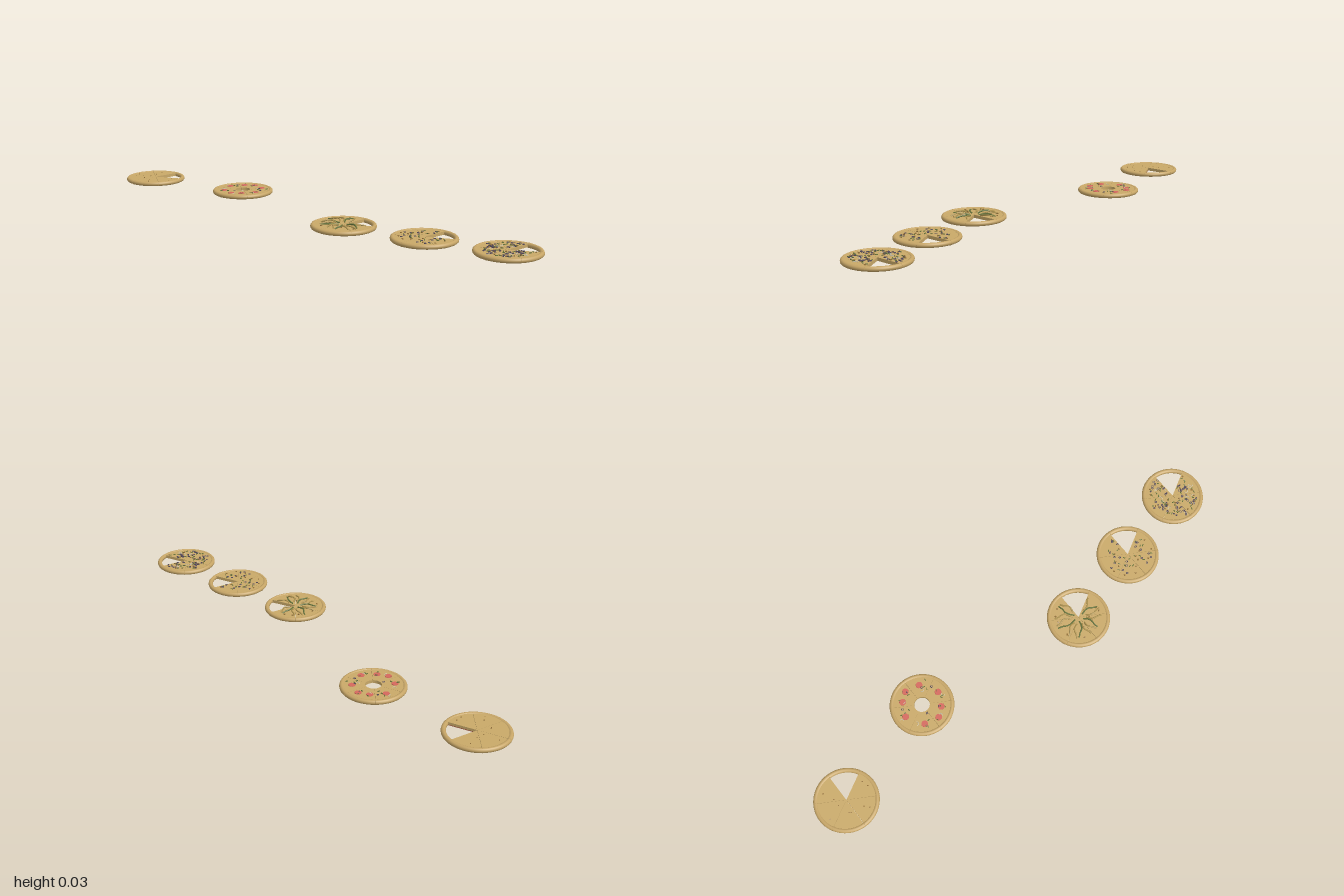
import * as THREE from 'three';

const R = 0.1143;            // crust centre line
const TUBE = 0.009;          // crust thickness radius
const CRUST_Y = 0.0097;      // crust centre height
const TOP = 0.0165;          // upper face of the slices
const STEP = Math.PI / 3;    // six slices per pizza
const START = THREE.MathUtils.degToRad(74); // first slice begins after the missing one

const mat = (color) => new THREE.MeshStandardMaterial({ color });
const dough = mat(0xc6a566), cheese = mat(0xc9a968), sauce = mat(0xa2503f);
const meat = mat(0xd4685c), green = mat(0x66753c), dark = mat(0x54485a), pale = mat(0xd6cfba);
const strip = mat(0xb09550), brown = mat(0x96733c);

function seeded(seed) {
  let s = seed;
  return () => (s = (s * 16807) % 2147483647) / 2147483647;
}

function add(parent, name, geometry, material) {
  const mesh = new THREE.Mesh(geometry, material);
  mesh.name = name;
  parent.add(mesh);
  return mesh;
}

// Flat slice on the ground plane spanning 60 degrees, with an optional cut-off tip
function sector(inner, outer, y, height) {
  const gap = 0.006, steps = 12;
  const arc = (r, from, to, n) => Array.from({ length: n + 1 }, (_, i) => {
    const a = from + (to - from) * i / n;
    return new THREE.Vector2(r * Math.cos(a), r * Math.sin(a));
  });
  const tip = inner > 0 ? arc(inner, STEP - gap, gap, 6) : [new THREE.Vector2(0.0005, 0.0003)];
  const shape = new THREE.Shape([...tip, ...arc(outer, gap, STEP - gap, steps)]);
  const g = new THREE.ExtrudeGeometry(shape, { depth: height, bevelEnabled: false });
  return g.rotateX(-Math.PI / 2).translate(0, y, 0);
}

// Point on a slice at a polar position
const polar = (r, a, y = TOP) => new THREE.Vector3(r * Math.cos(a), y, -r * Math.sin(a));

// Crumbs of one kind strewn over a slice
function scatter(slice, name, geometry, material, count, rand, rMin = 0.02) {
  for (let i = 0; i < count; i++) {
    const r = Math.sqrt(rMin * rMin + rand() * (0.099 ** 2 - rMin * rMin));
    const margin = Math.min(0.4, 0.005 / r);
    const a = margin + rand() * (STEP - 2 * margin);
    const m = add(slice, name, geometry, material);
    m.position.copy(polar(r, a, TOP + 0.001));
    m.rotation.set(rand() * 0.4 - 0.2, rand() * 6.28, rand() * 0.4 - 0.2);
  }
}

const cube = new THREE.BoxGeometry(0.006, 0.004, 0.005);
const sliver = new THREE.BoxGeometry(0.009, 0.003, 0.003);
const ring = new THREE.TorusGeometry(0.0034, 0.0014, 6, 12).rotateX(Math.PI / 2);
const disc = new THREE.CylinderGeometry(0.0125, 0.013, 0.002, 20);
const curl = new THREE.TorusGeometry(0.007, 0.0013, 5, 10, Math.PI).rotateX(Math.PI / 2);
const fleck = new THREE.CylinderGeometry(0.0025, 0.0025, 0.0012, 6);

// Toppings for one slice of each kind
const toppings = {
  plain(slice, rand) {
    scatter(slice, 'brownFleck', fleck, brown, 2, rand);
  },
  sausage(slice, rand, index) {
    const spots = index % 3 ? [[0.078, 0.55]] : [[0.082, 0.25], [0.074, 0.8]];
    for (const [r, a] of spots) add(slice, 'sausageDisc', disc, meat).position.copy(polar(r, a, TOP + 0.001));
    scatter(slice, 'herb', sliver, green, 3, rand, 0.04);
    scatter(slice, 'oliveRing', ring, dark, 1, rand, 0.04);
    scatter(slice, 'onionCurl', curl, pale, 1, rand, 0.05);
  },
  strips(slice, rand) {
    // Wavy arched strips fanning out from the tip
    for (let i = 0; i < 3; i++) {
      const a = STEP * (i + 0.5) / 3, bend = i % 2 ? 0.13 : -0.13;
      const start = i % 2 ? 0.018 : 0.03, end = 0.082 + 0.014 * rand();
      const rise = 0.004 + 0.005 * rand();
      const points = [0, 0.25, 0.5, 0.75, 1].map((t) =>
        polar(start + (end - start) * t, a + bend * Math.sin(t * 5), TOP + rise * Math.sin(t * Math.PI)));
      const path = new THREE.CatmullRomCurve3(points);
      add(slice, 'pepperStrip', new THREE.TubeGeometry(path, 14, 0.0028, 7), i % 2 ? green : strip);
    }
    scatter(slice, 'crumb', cube, brown, 2, rand);
  },
  mixed(slice, rand) {
    scatter(slice, 'oliveRing', ring, dark, 4, rand);
    scatter(slice, 'hamCube', cube, brown, 3, rand);
    scatter(slice, 'herb', sliver, green, 4, rand);
  },
  loaded(slice, rand) {
    scatter(slice, 'oliveRing', ring, dark, 8, rand);
    scatter(slice, 'hamCube', cube, brown, 5, rand);
    scatter(slice, 'herb', sliver, green, 8, rand);
    scatter(slice, 'onionCurl', curl, pale, 3, rand);
    scatter(slice, 'mushroomCube', cube, dark, 3, rand);
  },
};

function pizza(name, kind, x, z, { slices = 5, hole = 0, sauced = false, seed = 1 } = {}) {
  const group = new THREE.Group();
  group.name = name;
  group.position.set(x, 0, z);
  const rand = seeded(seed * 7919);

  // Full ring of crust with a slight rib where the cuts meet it
  const crust = new THREE.TorusGeometry(R, TUBE, 14, 72).rotateX(-Math.PI / 2);
  add(group, 'crust', crust, dough).position.y = CRUST_Y;
  for (let i = 0; i < 6; i++) {
    const rib = add(group, 'crustSeam', new THREE.TorusGeometry(TUBE, 0.0006, 5, 16), dough);
    rib.position.copy(polar(R, START + i * STEP, CRUST_Y));
    rib.rotation.y = START + i * STEP;
  }

  for (let i = 0; i < slices; i++) {
    const slice = new THREE.Group();
    slice.name = 'slice';
    slice.rotation.y = START + i * STEP;
    add(slice, 'cheese', sector(hole, R, 0.007, TOP - 0.007), cheese);
    add(slice, 'base', sector(hole, R - 0.003, 0.0045, 0.0025), sauced && i > 0 ? sauce : dough);
    toppings[kind](slice, rand, i);
    group.add(slice);
  }
  return group;
}

export function createModel() {
  const model = new THREE.Group();
  model.name = 'pizzas';
  model.add(
    pizza('plainPizza', 'plain', -0.877, -0.139, { sauced: true, seed: 3 }),
    pizza('sausagePizza', 'sausage', -0.42, -0.139, { slices: 6, hole: 0.03, seed: 5 }),
    pizza('pepperStripPizza', 'strips', 0.222, 0.136, { seed: 7 }),
    pizza('mixedPizza', 'mixed', 0.556, 0.139, { seed: 11 }),
    pizza('loadedPizza', 'loaded', 0.876, 0.139, { seed: 13 }),
  );
  return model;
}
